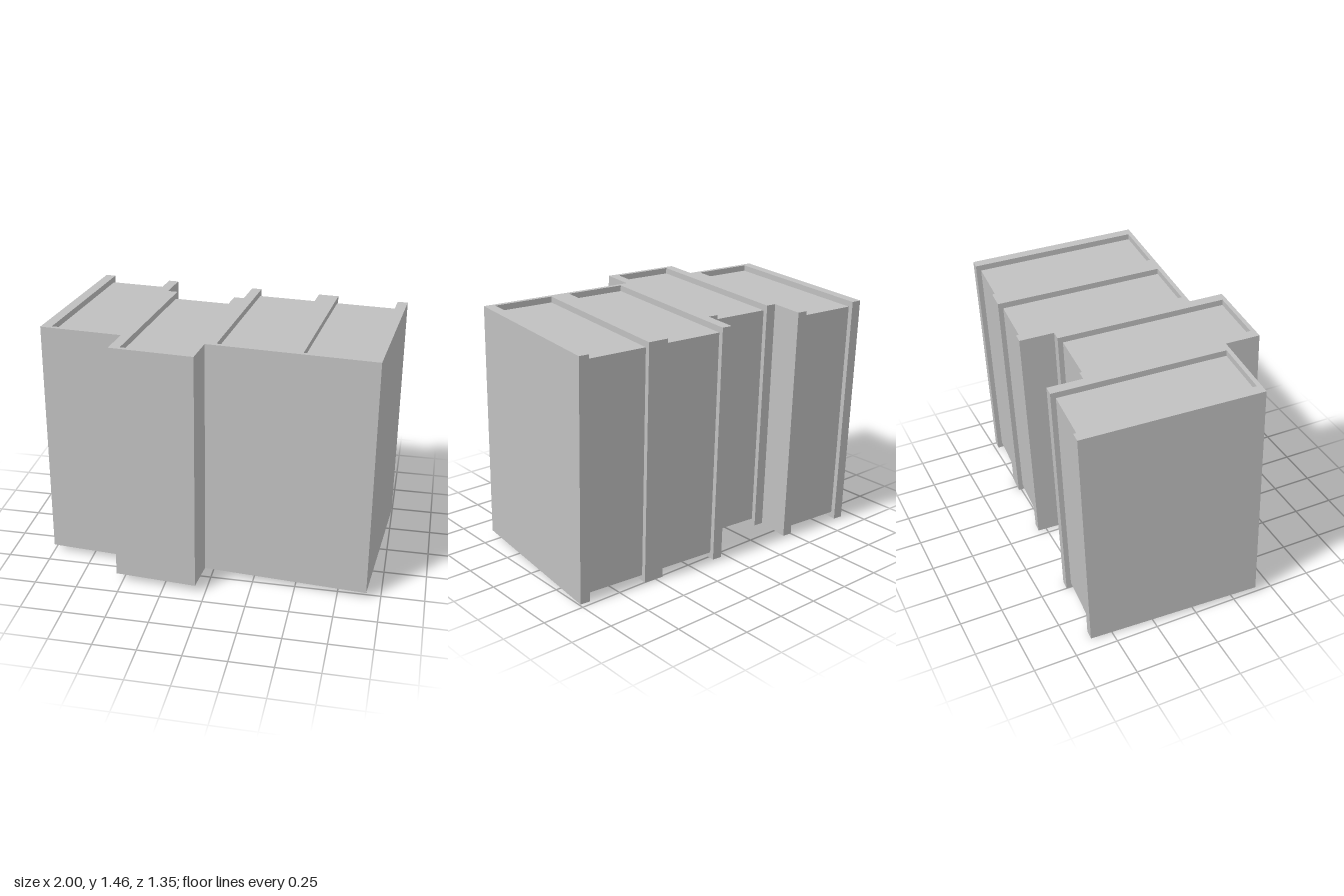
import * as THREE from 'three';

const HEIGHT = 1.413;
const WIDTH = 0.481;   // one cabinet
const DEPTH = 1.023;
const SIDE = 0.06;     // side panel thickness
const FRONT = 0.025;   // front panel thickness
const BACK_INSET = 0.029;
const CAP_INSET = 0.035;

// One cabinet: a U-shaped shell open to the back, with a core set in at top, bottom and back
function createCabinet(material) {
  const cabinet = new THREE.Group();
  const w = WIDTH / 2;
  const d = DEPTH / 2;
  const i = w - SIDE;

  // Plan outline; shape y maps to -z
  const outline = [[-w, -d], [w, -d], [w, d], [i, d], [i, -d + FRONT], [-i, -d + FRONT], [-i, d], [-w, d]];
  const plan = new THREE.Shape(outline.map(([x, y]) => new THREE.Vector2(x, y)));
  const shellGeometry = new THREE.ExtrudeGeometry(plan, { depth: HEIGHT, bevelEnabled: false });
  shellGeometry.translate(0, 0, -HEIGHT / 2);
  shellGeometry.rotateX(-Math.PI / 2);
  const shell = new THREE.Mesh(shellGeometry, material);
  shell.name = 'frontAndSidePanels';

  const core = new THREE.Mesh(
    new THREE.BoxGeometry(2 * i, HEIGHT - 2 * CAP_INSET, DEPTH - FRONT - BACK_INSET),
    material
  );
  core.name = 'recessedBody';
  core.position.z = (BACK_INSET - FRONT) / 2;

  cabinet.add(shell, core);
  return cabinet;
}

export function createModel() {
  const model = new THREE.Group();
  model.name = 'cabinetRow';
  const grey = new THREE.MeshStandardMaterial({ color: 0xc0c0c0 });
  grey.name = 'plain grey';

  // Four cabinets side by side; the second one stands forward
  const row = new THREE.Group();
  row.name = 'tiltedRow';
  const names = ['rightEndCabinet', 'forwardCabinet', 'middleCabinet', 'leftEndCabinet'];
  names.forEach((name, n) => {
    const cabinet = createCabinet(grey);
    cabinet.name = name;
    cabinet.position.set(-0.007 + (n - 1.5) * WIDTH, 0, n === 1 ? 0.136 : -0.066);
    row.add(cabinet);
  });

  // The row is turned and leans back slightly
  row.rotation.set(THREE.MathUtils.degToRad(-2), THREE.MathUtils.degToRad(-4.5), 0);
  row.position.y = 0.729;
  model.add(row);
  return model;
}
